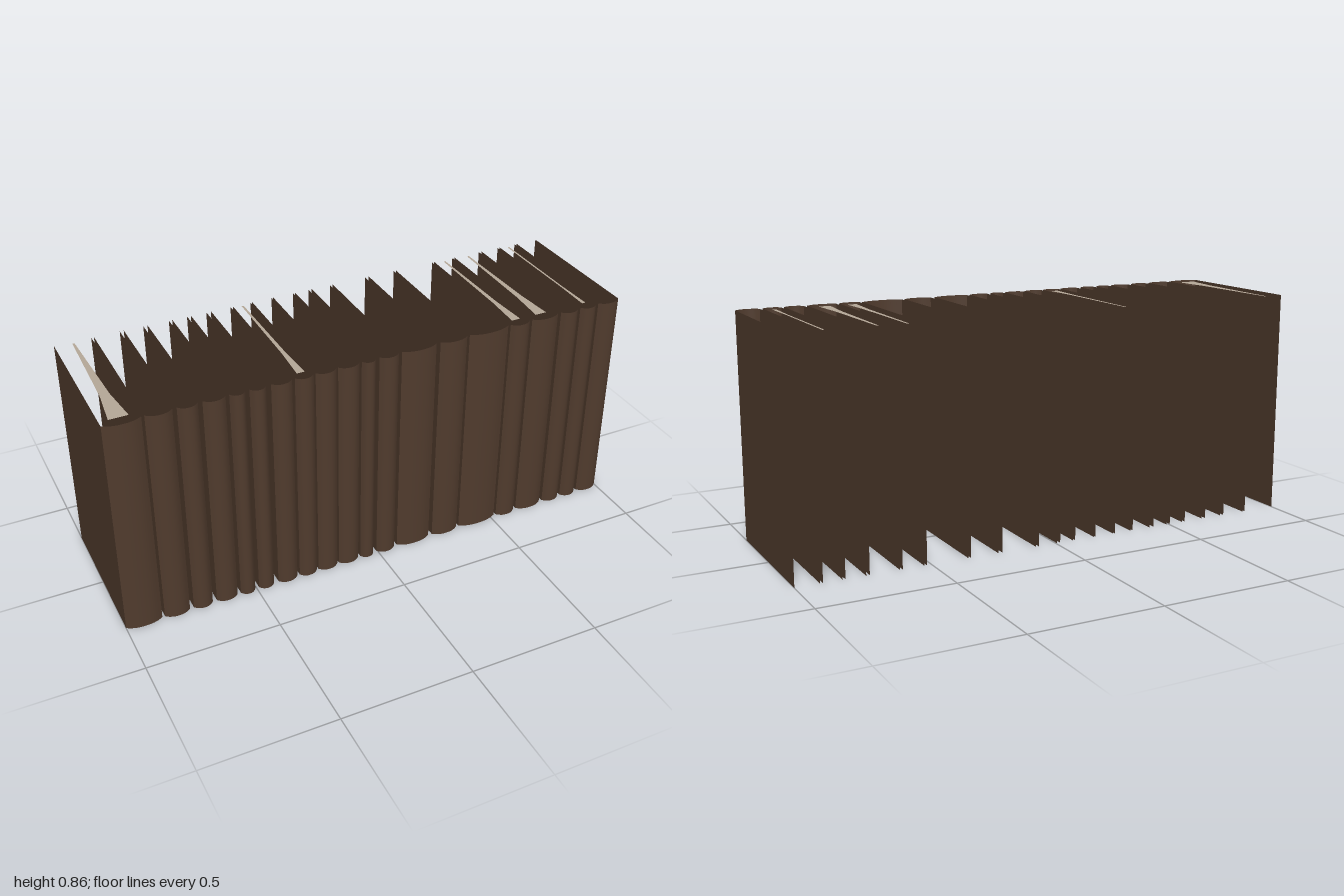
import * as THREE from 'three';

const H = 0.86, BACK = -0.29, HINGE = 0.279, FRONT = 0.297;

// left and right side of each book along the shelf
const BOOKS = [
  [-1, -0.865], [-0.855, -0.76], [-0.745, -0.672], [-0.656, -0.575], [-0.562, -0.505],
  [-0.49, -0.43], [-0.412, -0.335], [-0.325, -0.255], [-0.248, -0.17], [-0.163, -0.082],
  [-0.073, -0.018], [-0.004, 0.072], [0.084, 0.222], [0.238, 0.347], [0.357, 0.518],
  [0.528, 0.61], [0.62, 0.732], [0.745, 0.82], [0.83, 0.9], [0.91, 1],
];
// books whose page tops show as a narrow wedge: index, width at the spine
const WEDGES = [[0, 0.07], [7, 0.03], [15, 0.035], [16, 0.045], [18, 0.015]];

export function createModel() {
  const leather = new THREE.MeshStandardMaterial({ color: 0x503b2d, side: THREE.DoubleSide });
  leather.name = 'brown leather';
  const paper = new THREE.MeshStandardMaterial({ color: 0xb5a898 });
  paper.name = 'aged paper';

  const model = new THREE.Group();
  model.name = 'bookRow';

  const add = (parent, name, geometry, material) => {
    const mesh = new THREE.Mesh(geometry, material);
    mesh.name = name;
    parent.add(mesh);
    return mesh;
  };

  // flat sheet bowed outward into a rounded spine
  const spineGeometry = (width) => {
    const g = new THREE.PlaneGeometry(width, H, 8, 1);
    const p = g.attributes.position;
    for (let i = 0; i < p.count; i++) {
      const t = p.getX(i) / (width / 2);
      p.setZ(i, (FRONT - HINGE) * (1 - Math.abs(t) ** 2.5));
    }
    g.computeVertexNormals();
    return g;
  };

  BOOKS.forEach(([x0, x1], i) => {
    const book = new THREE.Group();
    book.name = `book${i + 1}`;
    model.add(book);

    // side covers, open at top, bottom and back
    for (const [name, x, turn] of [['rightCover', x0, -1], ['leftCover', x1, 1]]) {
      const g = new THREE.PlaneGeometry(HINGE - BACK, H).rotateY(turn * Math.PI / 2);
      add(book, name, g, leather).position.set(x, H / 2, (HINGE + BACK) / 2);
    }
    add(book, 'spine', spineGeometry(x1 - x0), leather).position.set((x0 + x1) / 2, H / 2, HINGE);
  });

  // slim tapering page tops
  for (const [i, w] of WEDGES) {
    const s = new THREE.Shape();
    s.moveTo(-w / 2, -0.25);
    s.lineTo(w / 2, -0.25);
    s.lineTo(w / 4, -0.1);
    s.lineTo(0.004, 0.28);
    s.lineTo(-0.004, 0.28);
    s.lineTo(-w / 4, -0.1);
    const g = new THREE.ShapeGeometry(s).rotateX(-Math.PI / 2);
    const [x0, x1] = BOOKS[i];
    add(model.children[i], 'pageTop', g, paper).position.set((x0 + x1) / 2, H - 0.002, 0);
  }
  return model;
}
